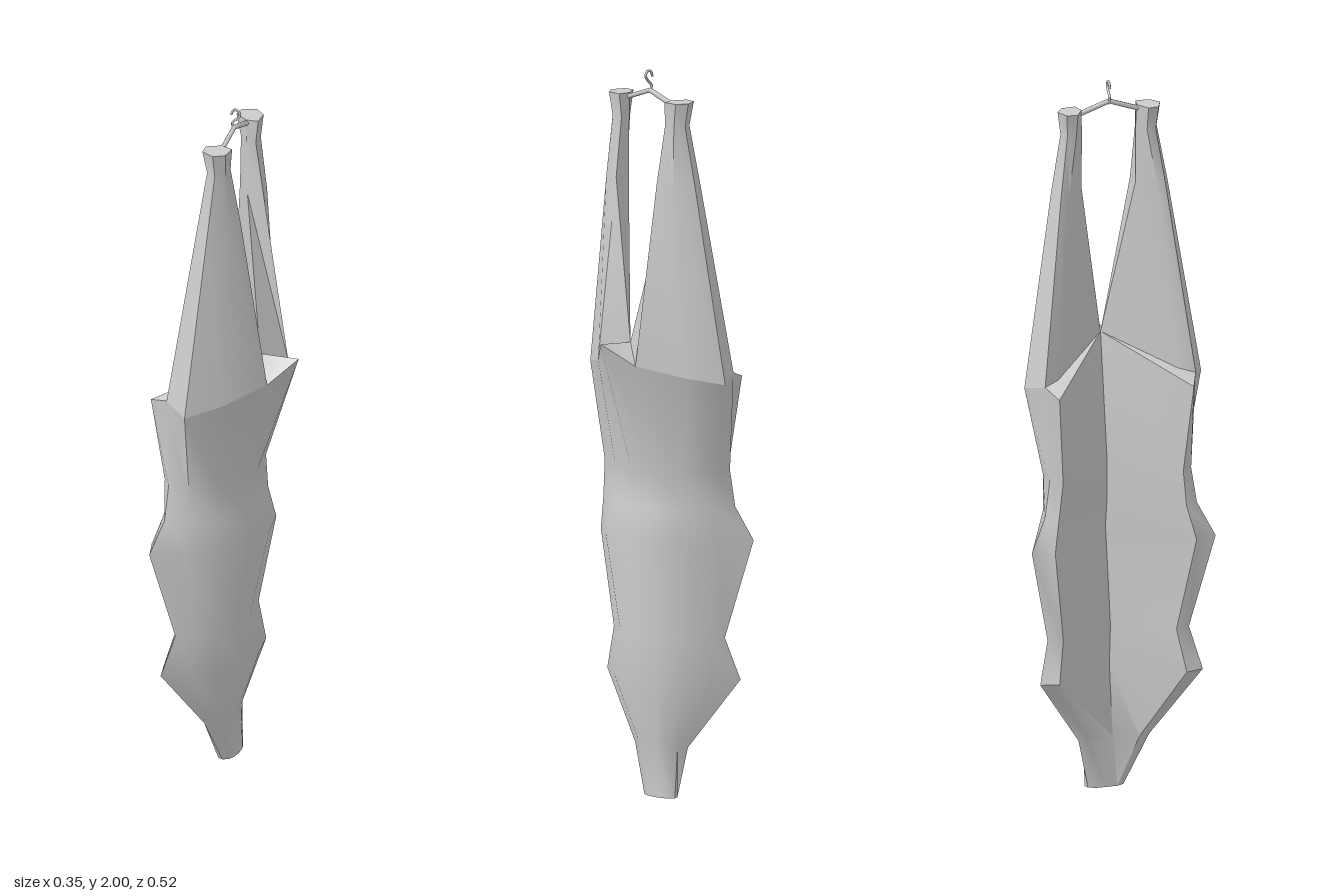
import * as THREE from 'three';
import { toCreasedNormals } from 'three/addons/utils/BufferGeometryUtils.js';

const material = new THREE.MeshStandardMaterial({ color: 0xcccccc, side: THREE.DoubleSide });

// Skins closed loops of [x, y, z] points from top to bottom and caps both ends.
function loft(loops, pivot, crease) {
  const n = loops[0].length;
  const index = [];
  for (let r = 0; r < loops.length - 1; r++) {
    for (let i = 0; i < n; i++) {
      const a = r * n + i, b = r * n + (i + 1) % n;
      index.push(a, b, a + n, b, b + n, a + n);
    }
  }
  const last = (loops.length - 1) * n;
  for (let i = 1; i < n - 1; i++) {
    const p = (pivot + i) % n, q = (pivot + i + 1) % n;
    index.push(pivot, q, p, last + pivot, last + p, last + q);
  }
  const g = new THREE.BufferGeometry();
  g.setAttribute('position', new THREE.Float32BufferAttribute(loops.flat(2), 3));
  g.setIndex(index);
  return toCreasedNormals(g, crease);
}

function addMesh(parent, name, geometry) {
  const mesh = new THREE.Mesh(geometry, material);
  mesh.name = name;
  parent.add(mesh);
}

// Half section: spine, back, side, widest, flap edge outside, flap edge inside, cavity centre
const rump = [
  [0.175, 1.27, 0], [0.113, 1.21, 0.07], [0.03, 1.18, 0.18], [-0.05, 1.16, 0.25],
  [-0.12, 1.18, 0.213], [-0.177, 1.16, 0.19], [0.06, 1.26, 0],
];
const level = (y, points) => points.map(([x, z]) => [x, y, z]);
const halves = [
  rump,
  level(0.91, [[0.056, 0], [0.046, 0.07], [0.005, 0.15], [-0.06, 0.2], [-0.12, 0.2], [-0.145, 0.17], [0, 0]]),
  level(0.81, [[0.06, 0], [0.05, 0.075], [0.01, 0.15], [-0.06, 0.2], [-0.125, 0.215], [-0.142, 0.18], [0, 0]]),
  level(0.72, [[0.088, 0], [0.072, 0.08], [0.02, 0.15], [-0.06, 0.215], [-0.15, 0.26], [-0.17, 0.2], [0.015, 0]]),
  level(0.45, [[0.032, 0], [0.022, 0.075], [-0.01, 0.13], [-0.06, 0.175], [-0.1, 0.2], [-0.115, 0.16], [-0.03, 0]]),
  level(0.335, [[0.057, 0], [0.042, 0.08], [0, 0.145], [-0.06, 0.19], [-0.13, 0.23], [-0.145, 0.18], [-0.02, 0]]),
  level(0.14, [[-0.01, 0], [-0.012, 0.035], [-0.02, 0.06], [-0.04, 0.08], [-0.06, 0.1], [-0.07, 0.07], [-0.05, 0]]),
  level(0, [[-0.01, 0], [-0.012, 0.025], [-0.02, 0.045], [-0.035, 0.055], [-0.05, 0.05], [-0.06, 0.03], [-0.06, 0]]),
];

// Mirrors a half section into a full loop; the neck end leans a little sideways
function fullLoop(half) {
  const mirrored = half.slice(1, 6).reverse().map(([x, y, z]) => [x, y, -z]);
  return [...half, ...mirrored].map(([x, y, z]) => [x, y, y === 0 ? z - 0.02 : z]);
}

export function createModel() {
  const model = new THREE.Group();
  model.name = 'hangingCarcass';

  // Split trunk with flank flaps, chest and neck
  addMesh(model, 'trunk', loft(halves.map(fullLoop), 6, 0.75));

  // Hind legs, growing from the rump's own corners
  const legLoops = [
    level(1.925, [[0.016, 0.085], [0.014, 0.125], [-0.015, 0.145], [-0.052, 0.13], [-0.055, 0.1], [-0.018, 0.078]]),
    level(1.86, [[0.01, 0.082], [0.01, 0.115], [-0.012, 0.136], [-0.04, 0.125], [-0.042, 0.1], [-0.014, 0.076]]),
    level(1.7, [[0.037, 0.076], [0.024, 0.125], [-0.02, 0.165], [-0.058, 0.148], [-0.056, 0.125], [-0.012, 0.076]]),
    [rump[1], rump[2], rump[3], rump[4], [-0.1, 1.19, 0.17], rump[6]],
  ];
  for (const side of [1, -1]) {
    const loops = legLoops.map((loop) => {
      const points = loop.map(([x, y, z]) => [x, y, z * side]);
      return side > 0 ? points : points.reverse();
    });
    addMesh(model, side > 0 ? 'frontHindLeg' : 'backHindLeg', loft(loops, 0, 0.75));
  }

  // Spreader bar between the legs
  const spreader = new THREE.CurvePath();
  const peak = new THREE.Vector3(-0.016, 1.943, 0);
  for (const side of [-1, 1]) {
    const end = new THREE.Vector3(-0.016, 1.908, 0.1 * side);
    spreader.add(side < 0 ? new THREE.LineCurve3(end, peak) : new THREE.LineCurve3(peak, end));
  }
  addMesh(model, 'spreaderBar', new THREE.TubeGeometry(spreader, 8, 0.007, 6));

  // Hook that carries the bar
  const hook = new THREE.CatmullRomCurve3([
    [-0.016, 1.935], [-0.022, 1.955], [-0.008, 1.97], [0.001, 1.983], [-0.006, 1.996], [-0.018, 1.995], [-0.025, 1.98],
  ].map(([x, y]) => new THREE.Vector3(x, y, 0)));
  addMesh(model, 'hook', new THREE.TubeGeometry(hook, 20, 0.0035, 6));

  return model;
}
